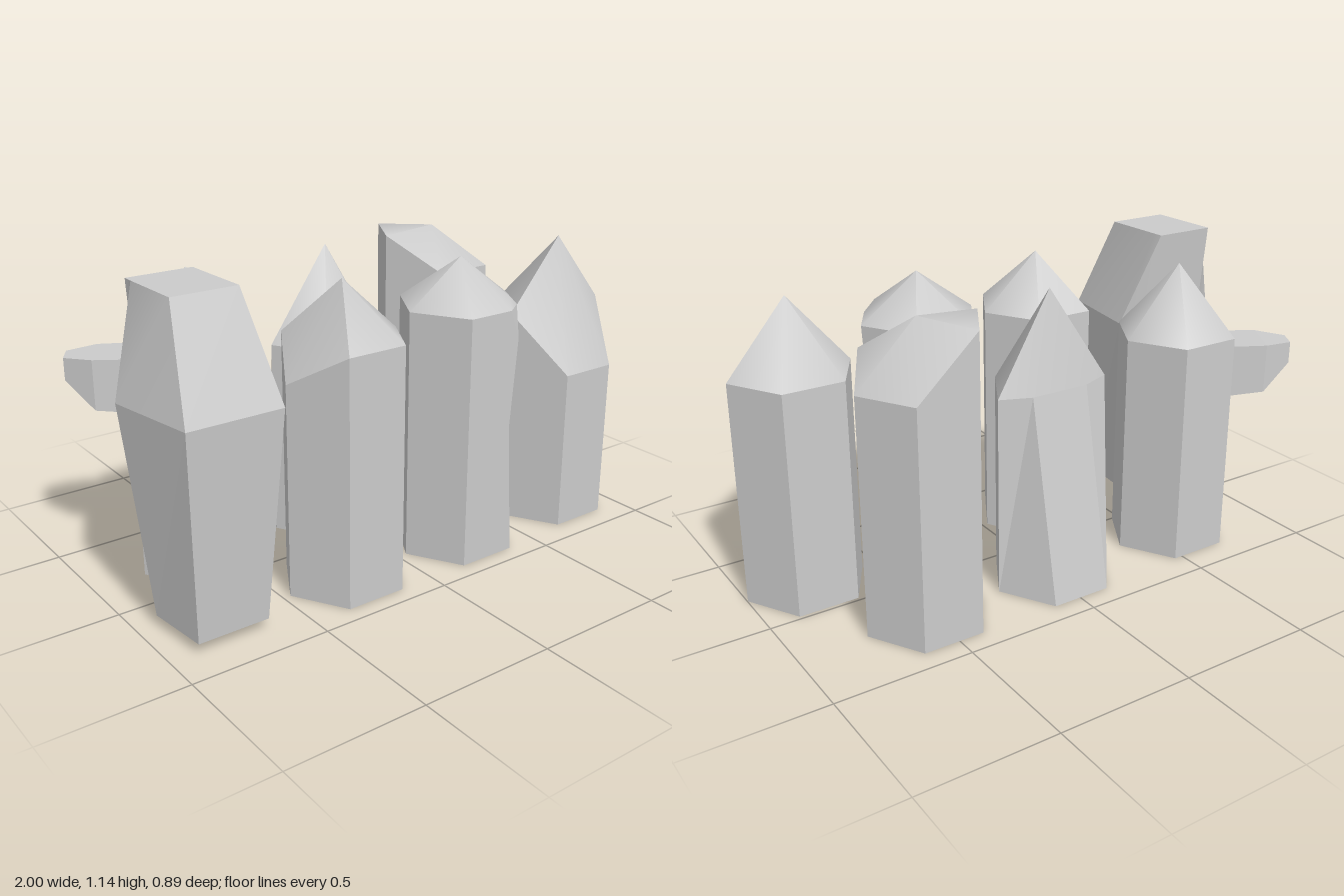
import * as THREE from 'three';
import { toCreasedNormals } from 'three/addons/utils/BufferGeometryUtils.js';

const material = new THREE.MeshStandardMaterial({ color: 0xcccccc });

// Ring order: right, front right, front left, left, back left, back right
const hexRing = (x, z, heights) => heights.map((y, i) => {
  const a = (i * Math.PI) / 3;
  return [x + 0.225 * Math.cos(a), y, z + 0.225 * Math.sin(a)];
});

// Triangles between two rings
const bridge = (low, up) => low.flatMap((a, i) => {
  const j = (i + 1) % low.length;
  return [low[j], a, up[i], low[j], up[i], up[j]];
});

// Triangles from a ring to one point
const fan = (ring, tip) => ring.flatMap((a, i) => [ring[(i + 1) % ring.length], a, tip]);

const centre = (ring) => [0, 1, 2].map((k) => ring.reduce((s, p) => s + p[k], 0) / ring.length);

function surface(name, points, crease) {
  const geometry = new THREE.BufferGeometry();
  geometry.setAttribute('position', new THREE.Float32BufferAttribute(points.flat(), 3));
  geometry.computeVertexNormals();
  const mesh = new THREE.Mesh(crease ? toCreasedNormals(geometry, crease) : geometry, material);
  mesh.name = name;
  return mesh;
}

// A flat-sided shaft through the rings, with a softly shaded top
function crystal(name, rings, capPoints) {
  const group = new THREE.Group();
  group.name = name;
  const shaft = fan([...rings[0]].reverse(), centre(rings[0]));
  for (let i = 1; i < rings.length; i++) shaft.push(...bridge(rings[i - 1], rings[i]));
  group.add(surface(name + 'Shaft', shaft), surface(name + 'Tip', capPoints, 1.05));
  return group;
}

const flat = (y) => Array(6).fill(y);

export function createModel() {
  const model = new THREE.Group();
  model.name = 'crystalCluster';

  // Straight pointed crystals: name, x, z, shoulder heights
  const plain = [
    ['backRightCrystal', -0.58, -0.197, flat(0.835)],
    ['backLeftCrystal', 0.52, -0.225, [0.87, 0.95, 0.95, 1.075, 1.075, 0.87]],
    ['frontMiddleCrystal', -0.247, 0.238, [0.885, 0.89, 0.89, 0.77, 0.885, 0.885]],
    ['frontLeftCrystal', 0.773, 0.21, [0.825, 0.61, 0.61, 0.825, 0.825, 0.825]],
  ];
  for (const [name, x, z, heights] of plain) {
    const top = hexRing(x, z, heights);
    model.add(crystal(name, [hexRing(x, z, flat(0)), top], fan(top, [x, 1.09, z])));
  }

  // Back middle crystal, its rear side leaning forward
  const leanTop = hexRing(-0.006, -0.225, flat(0.74));
  leanTop[4][2] = leanTop[5][2] = -0.27;
  model.add(crystal('leaningCrystal',
    [hexRing(-0.006, -0.225, flat(0)), leanTop], fan(leanTop, [-0.006, 1.09, -0.2])));

  // Bent crystal with a chipped front corner (that corner is doubled)
  const bentRing = (y, dx) => {
    const r = hexRing(0.263, 0.238, flat(y));
    r[0][0] += dx;
    r[1][0] += dx;
    r.splice(1, 0, [...r[1]]);
    return r;
  };
  const chipped = bentRing(0.925, 0);
  chipped[1] = [0.405, 0.925, 0.38];
  chipped[2] = [0.33, 0.925, 0.433];
  const chipPoint = [0.36, 0.965, 0.383];
  const apex = [0.263, 1.09, 0.238];
  const bentTip = fan(chipped, apex);
  // Sink the chip into the tip
  bentTip.splice(3, 3, chipPoint, chipped[1], apex, chipped[2], chipPoint, apex,
    chipped[2], chipped[1], chipPoint);
  model.add(crystal('chippedCrystal',
    [bentRing(0, 0), bentRing(0.5, -0.032), bentRing(0.82, -0.006), chipped], bentTip));

  // Large crystal widening upward, with a flat slanted crown
  const base = [[-0.62, 0.04, 0.14], [-0.645, 0.04, 0.375], [-0.905, 0.04, 0.375],
    [-0.93, 0.04, 0.14], [-0.86, 0.04, 0.08], [-0.69, 0.04, 0.08]];
  const shoulder = [[-0.553, 0.785, 0.1], [-0.605, 0.785, 0.44], [-0.945, 0.785, 0.44],
    [-1, 0.785, 0.1], [-0.89, 0.785, 0.035], [-0.66, 0.785, 0.035]];
  const crown = [[-0.658, 1.14, 0.04], [-0.655, 1.14, 0.28], [-0.89, 1.14, 0.28],
    [-0.893, 1.14, 0.04], [-0.893, 1.14, 0], [-0.658, 1.14, 0]];
  model.add(crystal('largeCrystal', [base, shoulder],
    [...bridge(shoulder, crown), ...fan(crown, centre(crown))]));

  // Small side branch, built along its own axis and swung outward
  const square = (y, half, shift) =>
    [[half, -half], [half, half], [-half, half], [-half, -half]].map(([x, z]) => [x + shift, y, z]);
  const neck = square(0.32, 0.09, 0);
  const end = square(0.42, 0.04, 0.045);
  const branch = crystal('sideBranch', [square(0.1, 0.1, -0.01), neck],
    [...bridge(neck, end), ...fan(end, centre(end))]);
  branch.position.set(-0.58, 0.71, -0.2);
  branch.rotation.set(0, -0.53, Math.PI / 2);
  model.add(branch);

  return model;
}
